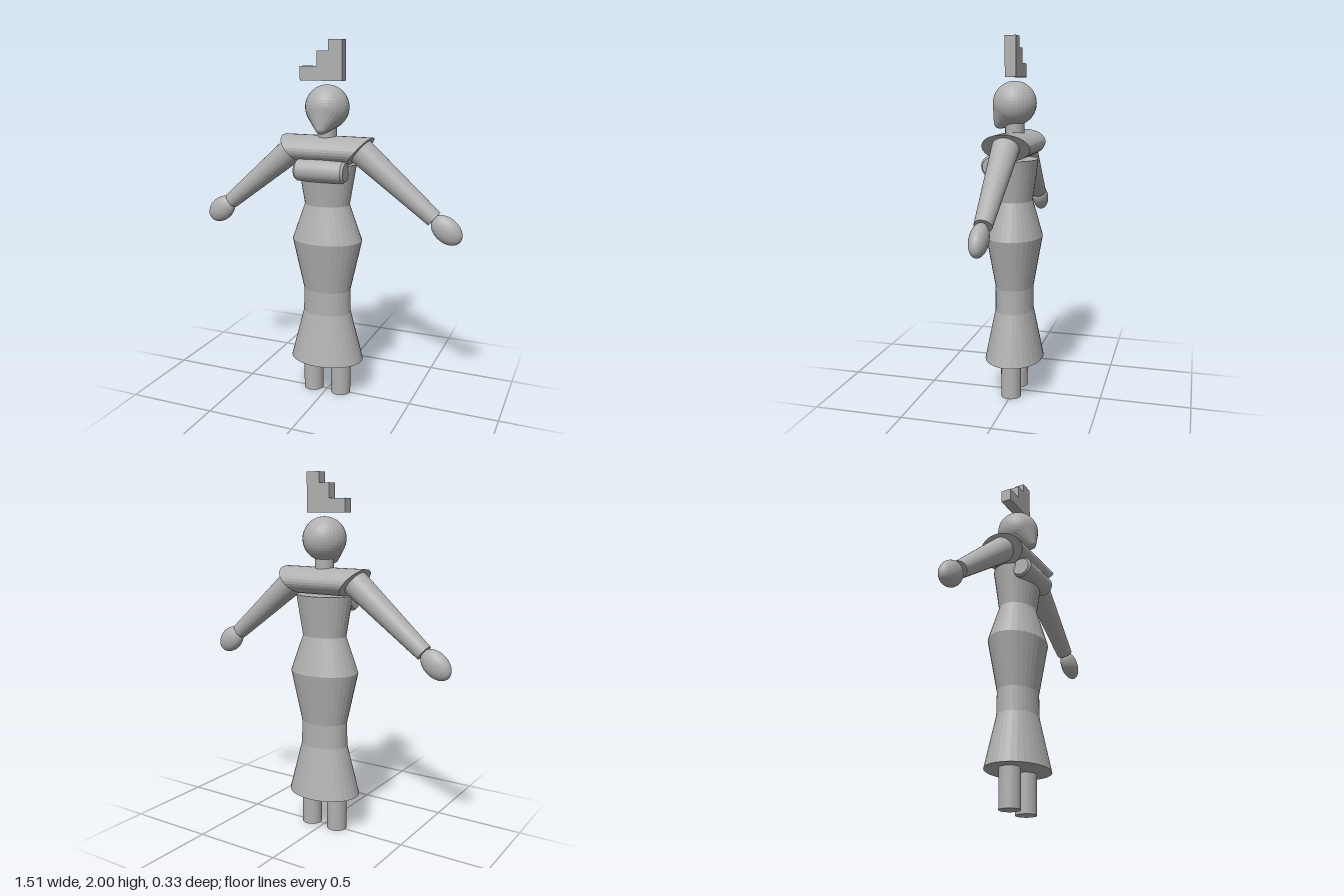
import * as THREE from 'three';

const grey = new THREE.MeshStandardMaterial({ color: 0xb0b0b0 });
grey.name = 'plain grey';

// Mesh with crisp faceted normals
function part(name, geometry, parent) {
  const g = geometry.index ? geometry.toNonIndexed() : geometry;
  g.computeVertexNormals();
  const mesh = new THREE.Mesh(g, grey);
  mesh.name = name;
  parent.add(mesh);
  return mesh;
}

const lathe = (pts) => new THREE.LatheGeometry(pts.map(([r, y]) => new THREE.Vector2(r, y)), 32);

// Rounded skull blended to a small chin: each direction takes the outermost of two spheres
function headGeometry() {
  const g = new THREE.SphereGeometry(1, 32, 24);
  const p = g.attributes.position;
  const skull = { c: new THREE.Vector3(0, 1.648, 0), r: 0.119 };
  const chin = { c: new THREE.Vector3(0, 1.545, 0.082), r: 0.035 };
  const n = new THREE.Vector3();
  for (let i = 0; i < p.count; i++) {
    n.fromBufferAttribute(p, i);
    const s = n.dot(skull.c) + skull.r >= n.dot(chin.c) + chin.r ? skull : chin;
    n.multiplyScalar(s.r).add(s.c);
    p.setXYZ(i, n.x, n.y, n.z);
  }
  return g;
}

// Oval bar across the shoulders, its ends cut square to the arms
function yokeGeometry() {
  const g = new THREE.CylinderGeometry(1, 1, 2, 32).rotateZ(Math.PI / 2).scale(1, 0.074, 0.13);
  const p = g.attributes.position;
  for (let i = 0; i < p.count; i++) p.setX(i, Math.sign(p.getX(i)) * (0.194 + 0.81 * p.getY(i)));
  return g.translate(0, 1.421, 0);
}

export function createModel() {
  const model = new THREE.Group();
  model.name = 'figure';

  // Dress and torso in one oval profile
  part('dress', lathe([
    [0, 0.21], [0.212, 0.21], [0.138, 0.495], [0.136, 0.63], [0.2, 0.918],
    [0.128, 1.12], [0.166, 1.347], [0, 1.347],
  ]).scale(1, 1, 0.775), model);

  part('shoulders', yokeGeometry(), model);

  // Chest roll with softened ends
  part('chest', lathe([
    [0, -0.143], [0.048, -0.143], [0.059, -0.13], [0.063, 0], [0.059, 0.13], [0.048, 0.143], [0, 0.143],
  ]).rotateZ(Math.PI / 2).translate(0, 1.316, 0.094), model);

  part('neck', new THREE.CylinderGeometry(0.052, 0.052, 0.14, 32).translate(0, 1.52, 0), model);
  part('head', headGeometry(), model);

  // Stepped crest floating over the head
  const steps = [[-0.147, 1.787], [0.094, 1.787], [0.094, 2], [0.016, 2],
    [0.016, 1.942], [-0.048, 1.942], [-0.048, 1.862], [-0.147, 1.862]];
  const shape = new THREE.Shape(steps.map(([x, y]) => new THREE.Vector2(x, y)));
  part('crest', new THREE.ExtrudeGeometry(shape, { depth: 0.06, bevelEnabled: false })
    .translate(0, 0, -0.03), model);

  for (const side of [1, -1]) {
    const label = side > 0 ? 'left' : 'right';
    part(label + 'Leg', new THREE.CylinderGeometry(0.056, 0.056, 0.28, 32)
      .translate(side * 0.085, 0.14, 0), model);

    // Arm runs down its local y axis from the shoulder
    const arm = new THREE.Group();
    arm.name = label + 'ArmGroup';
    arm.position.set(side * 0.194, 1.421, 0);
    arm.rotation.z = side * Math.atan2(0.776, 0.63);
    part(label + 'Arm', new THREE.CylinderGeometry(0.074, 0.046, 0.53, 32)
      .translate(0, -0.265, 0), arm);
    part(label + 'Hand', new THREE.SphereGeometry(1, 32, 24)
      .scale(0.067, 0.094, 0.047).translate(0, -0.616, 0), arm);
    model.add(arm);
  }
  return model;
}
